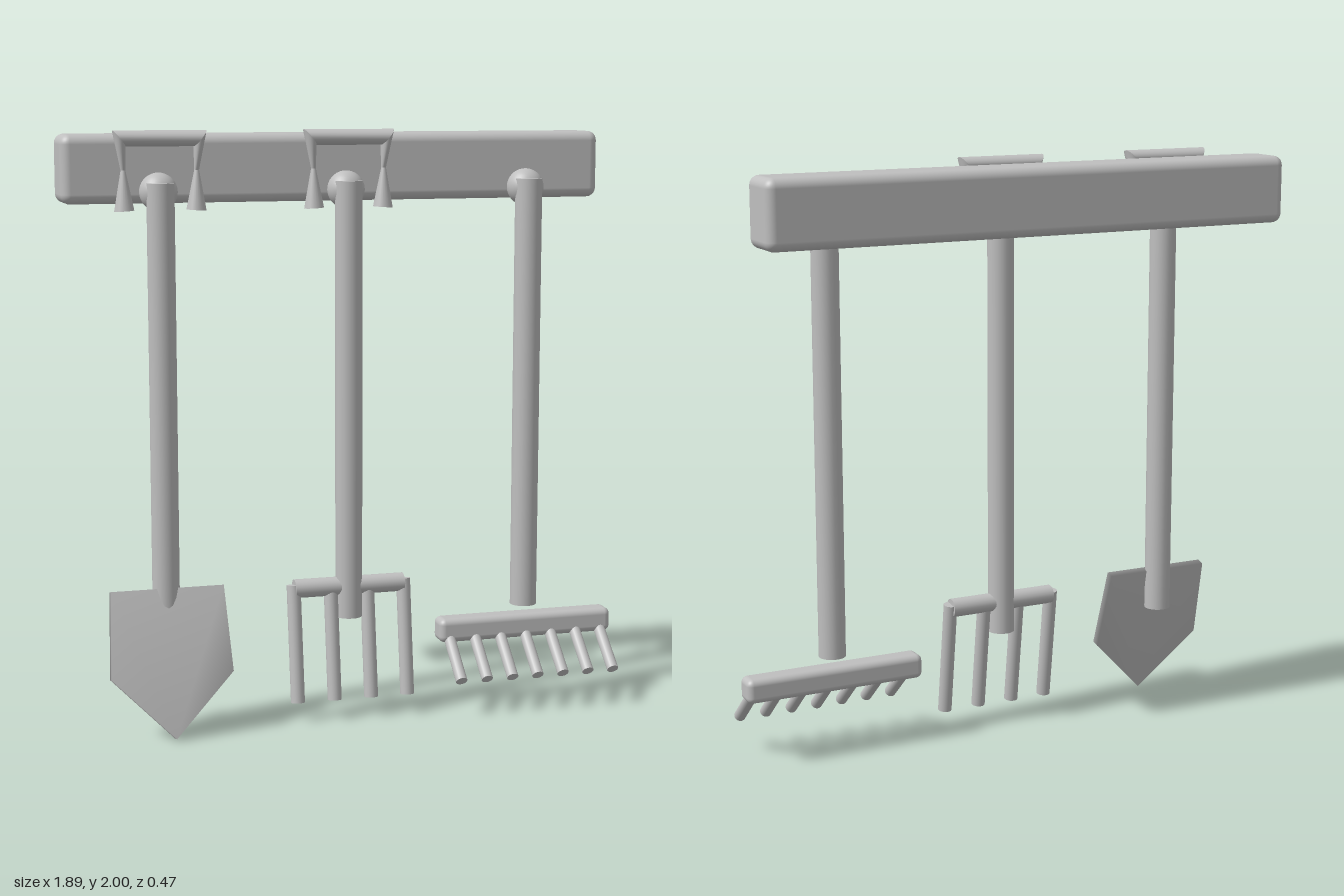
import * as THREE from 'three';
import { mergeVertices } from 'three/addons/utils/BufferGeometryUtils.js';
import { RoundedBoxGeometry } from 'three/addons/geometries/RoundedBoxGeometry.js';

const grey = new THREE.MeshStandardMaterial({ color: 0xbfbfbf });
grey.name = 'plain grey';

const HANDLE_Z = 0.062;

function add(parent, name, geometry, x = 0, y = 0, z = 0) {
  const mesh = new THREE.Mesh(geometry, grey);
  mesh.name = name;
  mesh.position.set(x, y, z);
  parent.add(mesh);
  return mesh;
}

// Capped round rod between two points
function rod(parent, name, a, b, radius) {
  const from = new THREE.Vector3(...a), to = new THREE.Vector3(...b);
  const dir = to.clone().sub(from);
  const mesh = add(parent, name, new THREE.CylinderGeometry(radius, radius, dir.length(), 20));
  mesh.position.copy(from).add(to).multiplyScalar(0.5);
  mesh.quaternion.setFromUnitVectors(new THREE.Vector3(0, 1, 0), dir.normalize());
  return mesh;
}

// Grip lofted through elliptical rings: [centre x, centre y, half-axis x, half-axis y, half depth]
function gripGeometry() {
  const half = [
    [-0.119, 1.742, 0.033, 0.002, 0.033],
    [-0.121, 1.872, 0.008, 0, 0.008],
    [-0.133, 1.974, 0.021, -0.026, 0.036],
  ];
  const mirrored = half.map(([x, y, ax, ay, d]) => [-x, y, ax, -ay, d]).reverse();
  // the second half keeps the same winding by flipping its in-plane axis
  const rings = [...half, ...mirrored.map(([x, y, ax, ay, d]) => [x, y, -ax, -ay, d])];
  const sides = 20, pos = [], index = [];
  // Each section has its own vertices so the mitred corners stay sharp
  for (let s = 0; s < rings.length - 1; s++) {
    const base = pos.length / 3;
    for (const [x, y, ax, ay, d] of [rings[s], rings[s + 1]]) {
      for (let i = 0; i < sides; i++) {
        const t = (i / sides) * Math.PI * 2;
        pos.push(x + ax * Math.cos(t), y + ay * Math.cos(t), d * Math.sin(t));
      }
    }
    for (let i = 0; i < sides; i++) {
      const j = (i + 1) % sides;
      const a = base + i, b = base + j, c = a + sides, e = b + sides;
      index.push(a, c, b, b, c, e);
    }
  }
  // Flat foot caps
  [rings[0], rings[rings.length - 1]].forEach(([x, y, ax, ay, d], end) => {
    const base = pos.length / 3;
    pos.push(x, y, 0);
    for (let i = 0; i < sides; i++) {
      const t = (i / sides) * Math.PI * 2;
      pos.push(x + ax * Math.cos(t), y + ay * Math.cos(t), d * Math.sin(t));
    }
    for (let i = 0; i < sides; i++) {
      const a = base + 1 + i, b = base + 1 + ((i + 1) % sides);
      if (end === 0) index.push(base, a, b);
      else index.push(base, b, a);
    }
  });
  const geometry = new THREE.BufferGeometry();
  geometry.setAttribute('position', new THREE.Float32BufferAttribute(pos, 3));
  geometry.setIndex(index);
  geometry.computeVertexNormals();
  return geometry;
}

// Pointed five-sided blade with softly blended normals
function bladeGeometry() {
  const shape = new THREE.Shape([
    new THREE.Vector2(0, 0),
    new THREE.Vector2(0.206, 0.21),
    new THREE.Vector2(0.191, 0.499),
    new THREE.Vector2(-0.191, 0.499),
    new THREE.Vector2(-0.206, 0.21),
  ]);
  const raw = new THREE.ExtrudeGeometry(shape, { depth: 0.03, bevelEnabled: false });
  raw.deleteAttribute('uv');
  raw.deleteAttribute('normal');
  const geometry = mergeVertices(raw);
  geometry.computeVertexNormals();
  return geometry;
}

// Shaft and round knob shared by every tool
function makeTool(parent, name, x, hasGrip) {
  const tool = new THREE.Group();
  tool.name = name;
  tool.position.x = x;
  parent.add(tool);
  rod(tool, 'handle', [0, 0.345, HANDLE_Z], [0, 1.83, HANDLE_Z], 0.046);
  add(tool, 'knob', new THREE.SphereGeometry(0.063, 28, 18), 0, 1.8, 0.028);
  if (hasGrip) add(tool, 'grip', gripGeometry(), 0, 0, 0.06);
  return tool;
}

export function createModel() {
  const model = new THREE.Group();
  model.name = 'toolRack';

  add(model, 'rail', new RoundedBoxGeometry(1.88, 0.228, 0.176, 4, 0.032), -0.01, 1.871, -0.145);

  // Spade
  const spade = makeTool(model, 'spade', -0.645, true);
  add(spade, 'blade', bladeGeometry(), 0, 0, 0.19).rotation.x = -0.26;

  // Fork
  const fork = makeTool(model, 'fork', -0.01, true);
  rod(fork, 'crossbar', [-0.193, 0.452, HANDLE_Z], [0.193, 0.452, HANDLE_Z], 0.032);
  for (const x of [-0.195, -0.065, 0.065, 0.195]) {
    rod(fork, 'tine', [x, 0.067, 0.115], [x, 0.465, HANDLE_Z], 0.024);
  }

  // Rake
  const rake = makeTool(model, 'rake', 0.627, false);
  add(rake, 'head', new RoundedBoxGeometry(0.634, 0.084, 0.084, 4, 0.022), 0, 0.272, 0.06);
  for (let i = -3; i <= 3; i++) {
    const x = i * 0.093;
    rod(rake, 'tooth', [x, 0.127, 0.219], [x, 0.262, 0.065], 0.02);
  }

  return model;
}
